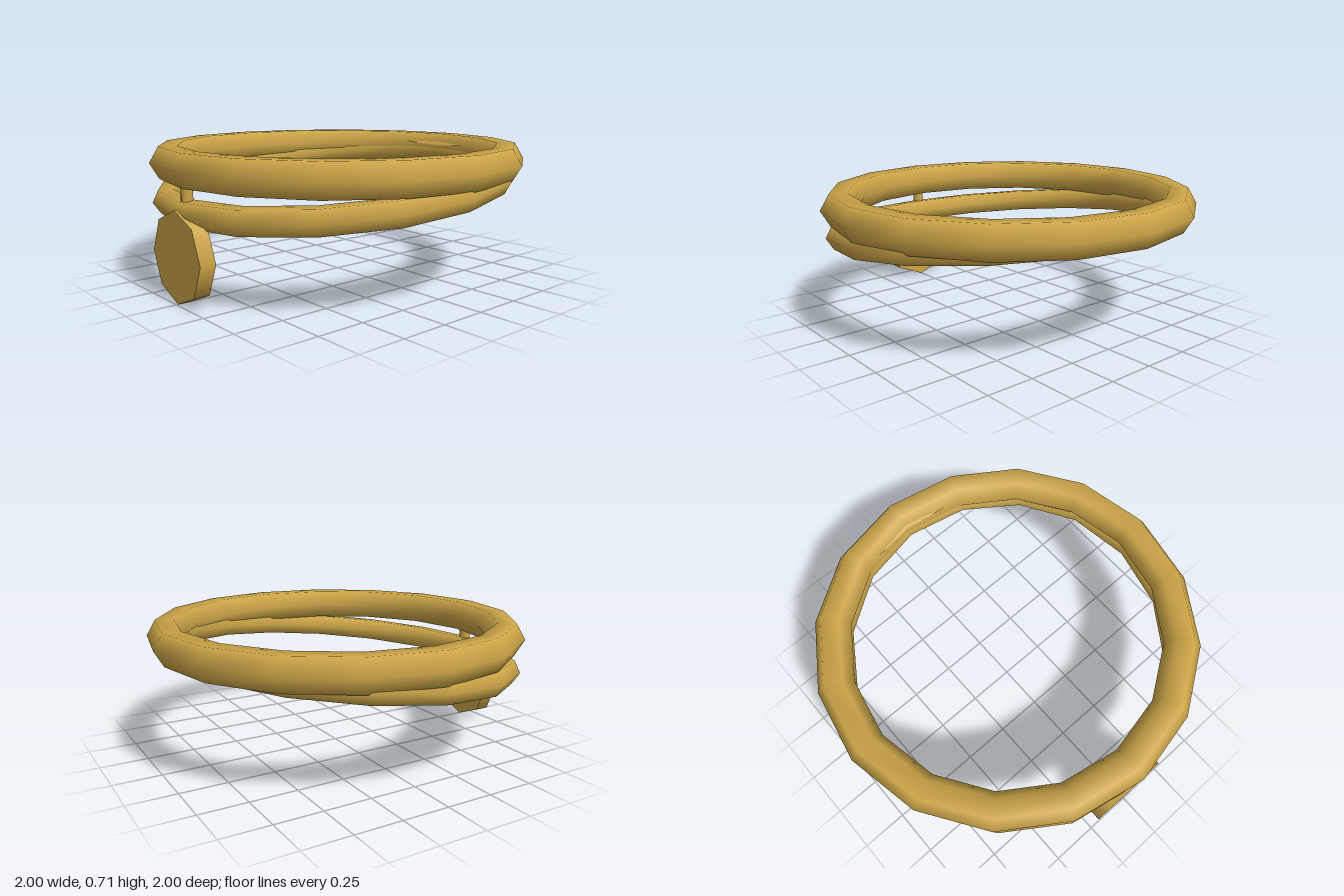
import * as THREE from 'three';

export function createModel() {
  const group = new THREE.Group();
  const gold = new THREE.MeshStandardMaterial({ color: 0xcca547 });
  gold.name = 'gold';

  const add = (name, geometry, x, y, z, rotX = 0) => {
    const mesh = new THREE.Mesh(geometry, gold);
    mesh.name = name;
    mesh.position.set(x, y, z);
    mesh.rotation.x = rotX;
    group.add(mesh);
    return mesh;
  };

  // Hexagonal-section hoop lying flat
  const hoop = (radius, tube) =>
    new THREE.TorusGeometry(radius, tube, 6, 16).rotateX(Math.PI / 2);

  // Thick level hoop, and a thinner one dipping towards the front
  add('upperHoop', hoop(0.905, 0.095), 0, 0.633, 0);
  add('lowerHoop', hoop(0.9, 0.07), 0, 0.52, 0.028, 0.1);

  // Pin linking the hoops to the pendant
  add('pendantPin', new THREE.CylinderGeometry(0.03, 0.03, 0.28, 8), 0, 0.43, 0.924);

  // Octagonal disc facing the front, corners up and down
  add('pendantDisc', new THREE.CylinderGeometry(0.226, 0.226, 0.08, 8), 0, 0.228, 0.953, Math.PI / 2);

  return group;
}
